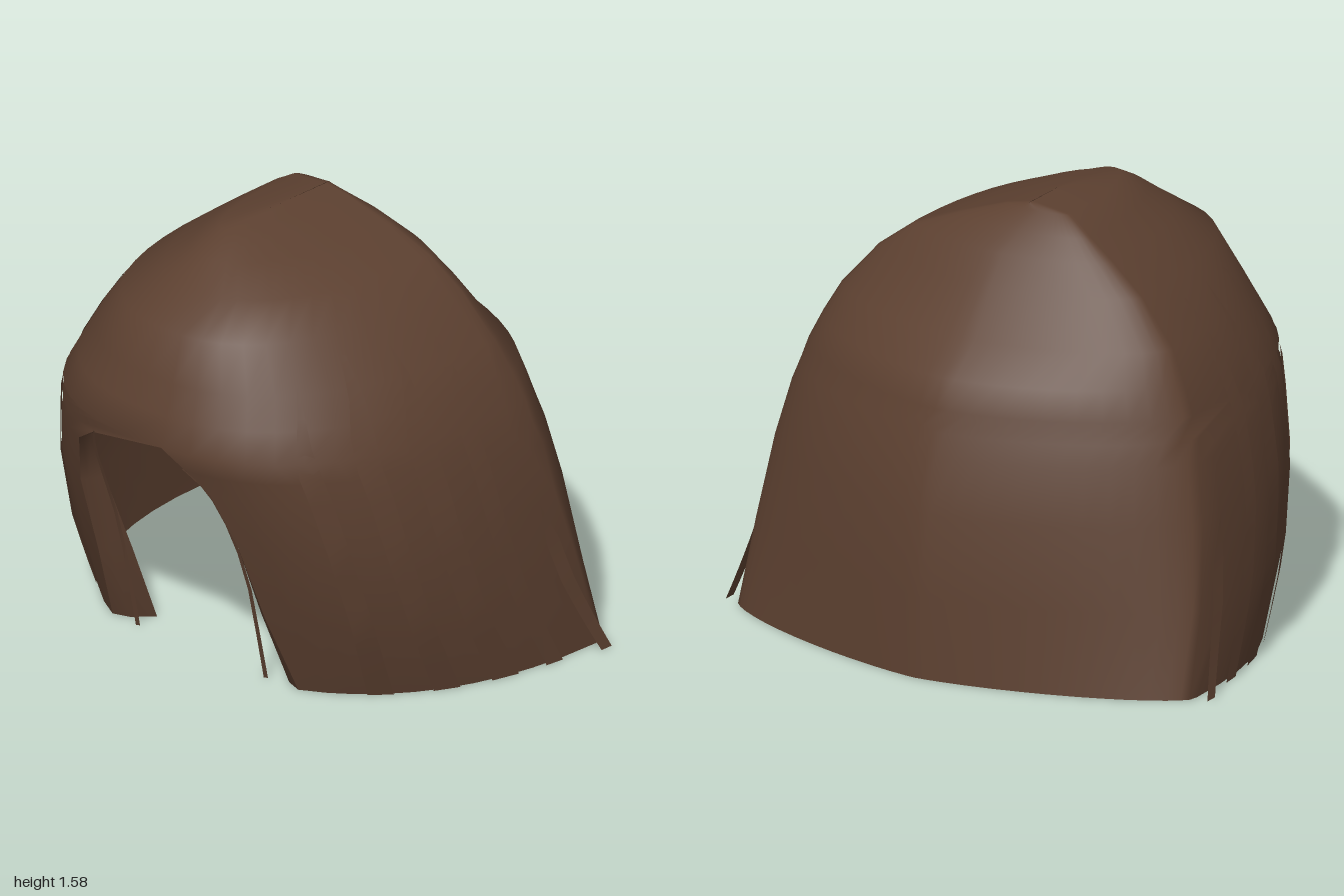
import * as THREE from 'three';
import { mergeVertices } from 'three/addons/utils/BufferGeometryUtils.js';

// Cross-sections: height, half width, front z, back z, z of the widest point,
// front roundness, back roundness, sideways shift
const SECTIONS = [
  [0, 0.945, 0.59, -0.855, -0.52, 2.35, 1.4, 0],
  [0.3, 0.925, 0.66, -0.84, -0.43, 2.75, 1.45, 0],
  [0.6, 0.89, 0.75, -0.815, -0.35, 2.75, 1.5, 0],
  [0.8, 0.845, 0.81, -0.755, -0.31, 2.6, 1.55, 0],
  [0.88, 0.82, 0.835, -0.73, -0.29, 2.55, 1.55, 0],
  [0.955, 0.795, 0.86, -0.705, -0.28, 2.5, 1.55, 0],
  [1.06, 0.745, 0.825, -0.665, -0.26, 2.4, 1.6, 0],
  [1.17, 0.685, 0.785, -0.54, -0.24, 2.3, 1.6, 0],
  [1.33, 0.545, 0.715, -0.41, -0.22, 2.4, 1.6, 0],
  [1.43, 0.41, 0.565, -0.335, -0.2, 2.3, 1.7, 0],
  [1.5, 0.27, 0.455, -0.27, -0.19, 2.2, 1.8, -0.04],
  [1.56, 0.13, 0.33, -0.2, -0.17, 2, 1.8, -0.08],
  [1.578, 0.001, 0, -0.18, -0.16, 2, 2, -0.05],
];
// Edges of the face opening for the lower sections: left x, right x
const OPENING = [[0.45, -0.45], [0.4, -0.41], [0.36, -0.42], [0.29, -0.37], [0.21, -0.25]];
// How far the opening edges curl towards the middle and back into the hood
const CURL = [[0.13, 0.09], [0.08, 0.09], [0.04, 0.08], [0.01, 0.05], [0, 0.01]];

// All section values at a given height
function sectionAt(y) {
  let i = 0;
  while (i < SECTIONS.length - 2 && SECTIONS[i + 1][0] < y) i++;
  const a = SECTIONS[i], b = SECTIONS[i + 1];
  const t = (y - a[0]) / (b[0] - a[0]);
  return a.map((v, k) => v + (b[k] - v) * t);
}

// Point on the hair surface: angle runs from the front (+z) towards +x
function surfacePoint(angle, [y, width, front, back, centre, frontRound, backRound, shift]) {
  const s = Math.sin(angle), c = Math.cos(angle);
  const p = 2 / (c >= 0 ? frontRound : backRound);
  const depth = c >= 0 ? front - centre : back - centre;
  return new THREE.Vector3(
    shift + Math.sign(s) * width * Math.abs(s) ** p, y, centre + depth * Math.abs(c) ** p);
}

// Angle at which a section's front half reaches a given x
function angleAtX(x, section) {
  return Math.sign(x) * Math.asin((Math.abs(x) / section[1]) ** (section[5] / 2));
}

// Skin a grid of points, rows running upwards
function skin(rows) {
  const cols = rows[0].length, index = [];
  for (let i = 0; i < rows.length - 1; i++) {
    for (let j = 0; j < cols - 1; j++) {
      const a = i * cols + j, b = a + 1, c = b + cols, d = a + cols;
      index.push(a, b, c, a, c, d);
    }
  }
  const geometry = new THREE.BufferGeometry().setFromPoints(rows.flat());
  geometry.setIndex(index);
  const merged = mergeVertices(geometry, 1e-5);
  merged.computeVertexNormals();
  return merged;
}

// Main shell: each row wraps from one side of the face opening round to the other
function shellGeometry() {
  const columns = 48;
  const rows = SECTIONS.map((section, i) => {
    const seam = 0.12 * section[1] / 0.795;
    const [left, right] = OPENING[i] ?? [seam, seam];
    const start = angleAtX(left, section);
    const end = angleAtX(right, section) + Math.PI * 2;
    return Array.from({ length: columns + 1 }, (_, j) =>
      surfacePoint(start + (end - start) * j / columns, section));
  });
  return skin(rows);
}

// Edge of the face opening (0 = left, 1 = right) rolling into the hood
function curlGeometry(side) {
  return skin(OPENING.map((edges, i) => {
    const edge = surfacePoint(angleAtX(edges[side], SECTIONS[i]), SECTIONS[i]);
    const [inward, back] = CURL[i];
    const dx = side ? inward : -inward;
    const row = [0, 0.5, 1].map((t) =>
      new THREE.Vector3(edge.x + dx * t, edge.y, edge.z - back * t * t));
    return side ? row : row.reverse();
  }));
}

// Thin lock lying on the shell, lifting away towards the hem
function lockGeometry(angle, halfAngle, top, flare) {
  const steps = 12, rows = [];
  for (let i = 0; i <= steps; i++) {
    const t = i / steps;
    const section = sectionAt(top * t);
    const lift = 1.005 + flare * (1 - t) ** 2;
    const half = halfAngle * Math.min(1, (1 - t) * 4);
    rows.push([-half, half].map((d) => {
      const p = surfacePoint(angle + d, section);
      return p.set(p.x * lift, p.y, p.z * lift);
    }));
  }
  return skin(rows);
}

// Loose strand following a short path beside the face
function strandGeometry(path, width) {
  const points = new THREE.CatmullRomCurve3(path.map((p) => new THREE.Vector3(...p))).getPoints(8);
  return skin(points.map((p, i) => {
    const half = width * (1 - 0.6 * i / 8) / 2;
    return [p.clone().add(new THREE.Vector3(-half, 0, half * 0.4)),
      p.clone().add(new THREE.Vector3(half, 0, -half * 0.4))];
  }));
}

export function createModel() {
  const model = new THREE.Group();
  model.name = 'hair';
  const brown = new THREE.MeshStandardMaterial({ color: 0x5c4030, side: THREE.DoubleSide });
  brown.name = 'brown hair';

  const add = (geometry, name) => {
    const mesh = new THREE.Mesh(geometry, brown);
    mesh.name = name;
    model.add(mesh);
  };

  add(shellGeometry(), 'hairShell');
  add(curlGeometry(0), 'leftOpeningCurl');
  add(curlGeometry(1), 'rightOpeningCurl');

  // Side locks, mirrored: angle, half angle, top height, flare at the hem
  const locks = [
    [0.75, 0.05, 1.2, 0.005], [1.0, 0.05, 1.36, 0.006], [1.22, 0.05, 1.28, 0.008],
    [1.4, 0.03, 1.36, 0.012], [1.54, 0.015, 0.6, 0.053],
  ];
  for (const side of [1, -1]) {
    for (const [angle, half, top, flare] of locks) {
      add(lockGeometry(side * angle, half, top, flare), side > 0 ? 'leftLock' : 'rightLock');
    }
  }

  // Loose strands framing the face
  add(strandGeometry([[0.3, 0, 0.51], [0.32, 0.5, 0.65], [0.28, 0.8, 0.78], [0.2, 0.89, 0.83]], 0.015), 'leftFaceStrand');
  add(strandGeometry([[-0.32, 0, 0.51], [-0.3, 0.45, 0.63], [-0.27, 0.8, 0.78], [-0.24, 0.89, 0.82]], 0.015), 'rightFaceStrand');
  return model;
}
